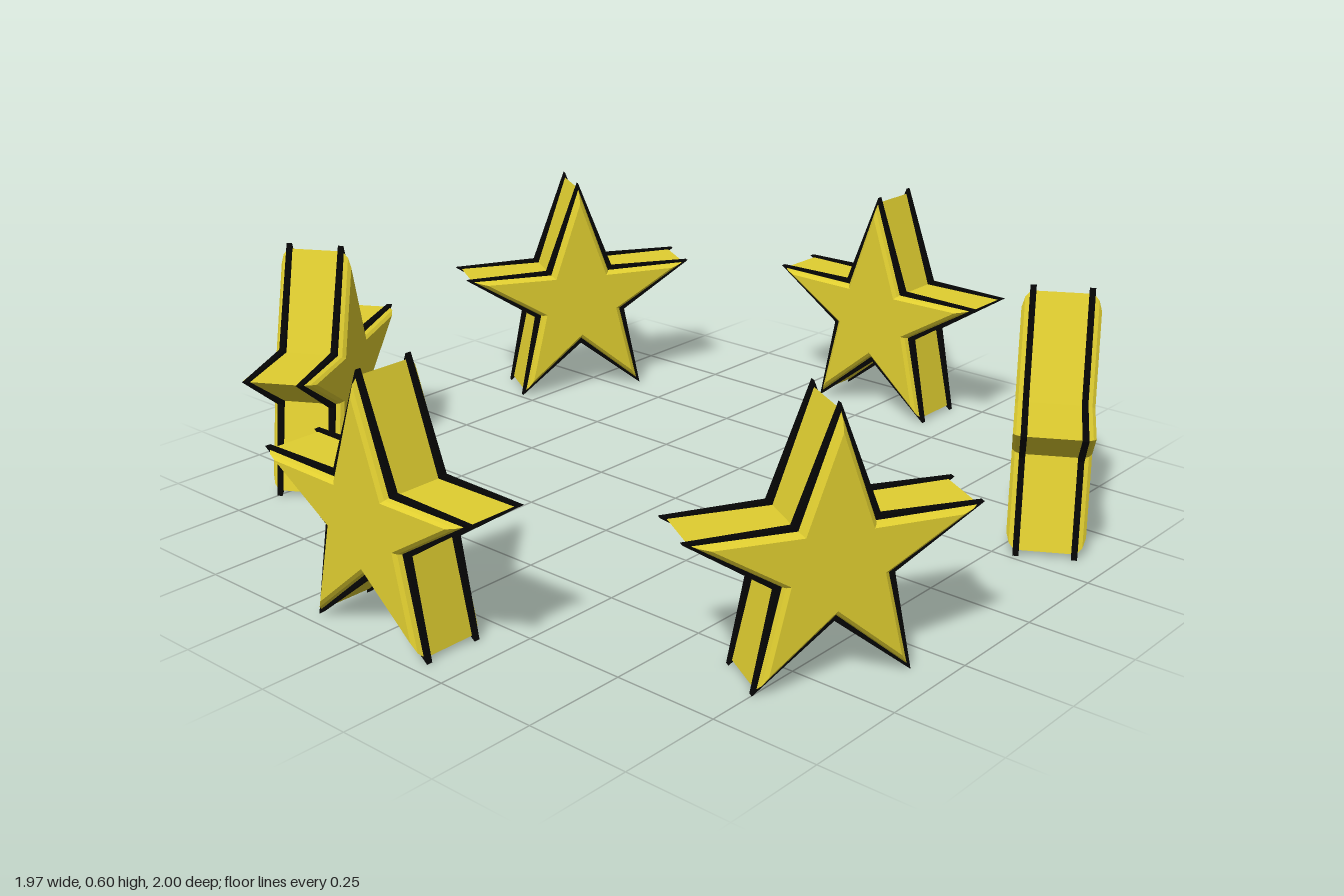
import * as THREE from 'three';

const gold = new THREE.MeshStandardMaterial({ color: 0xe0ce30 });
gold.name = 'gold';
const black = new THREE.MeshStandardMaterial({ color: 0x050505 });
black.name = 'black';

const CENTRE_Y = 0.27;
const RING_RADIUS = 0.895;

// Right half of the star from the top tip to the bottom notch, about its centre
const half = [[0, 0.315], [0.083, 0.075], [0.305, 0.077], [0.115, -0.04], [0.165, -0.258], [0, -0.118]];

// Whole outline, counter-clockwise seen from +z, scaled and pushed outwards
function outline(scale, grow) {
  const left = half.map(([x, y]) => [-x, y]);
  const right = half.slice(1, -1).reverse();
  return [...left, ...right].map(([x, y]) => {
    const k = scale + grow / Math.hypot(x, y);
    return [x * k, y * k];
  });
}

// Flat-sided solid through layers of [z, scale], closed by fans at both ends
function starSolid(layers, grow = 0) {
  const rings = layers.map(([z, s]) => outline(s, grow).map(([x, y]) => [x, y, z]));
  const n = rings[0].length;
  const last = rings.length - 1;
  const pos = [];
  const tri = (...corners) => corners.forEach((c) => pos.push(...c));
  for (let i = 0; i < n; i++) {
    const j = (i + 1) % n;
    for (let k = 0; k < last; k++) {
      const a = rings[k][i], b = rings[k][j], c = rings[k + 1][j], d = rings[k + 1][i];
      tri(a, b, c);
      tri(a, c, d);
    }
    tri([0, 0, layers[last][0]], rings[last][i], rings[last][j]);
    tri([0, 0, layers[0][0]], rings[0][j], rings[0][i]);
  }
  const geo = new THREE.BufferGeometry();
  geo.setAttribute('position', new THREE.Float32BufferAttribute(pos, 3));
  geo.computeVertexNormals();
  return geo;
}

export function createModel() {
  const model = new THREE.Group();
  model.name = 'starRing';

  // Body with bevelled faces, and the thin rim that outlines each face
  const bodyGeo = starSolid([[-0.09, 0.87], [-0.083, 0.95], [-0.07, 1], [0.07, 1], [0.083, 0.95], [0.09, 0.87]]);
  const rimGeo = starSolid([[-0.007, 1], [0.007, 1]], 0.014);

  // Six stars, each facing outwards
  for (let i = 0; i < 6; i++) {
    const a = Math.PI / 6 + (i * Math.PI) / 3;
    const star = new THREE.Group();
    star.name = `star${i + 1}`;
    const body = new THREE.Mesh(bodyGeo, gold);
    body.name = 'starBody';
    star.add(body);
    for (const side of [-1, 1]) {
      const rim = new THREE.Mesh(rimGeo, black);
      rim.name = side > 0 ? 'outerRim' : 'innerRim';
      rim.position.z = side * 0.066;
      star.add(rim);
    }
    star.position.set(Math.sin(a) * RING_RADIUS, CENTRE_Y, Math.cos(a) * RING_RADIUS);
    star.rotation.y = a;
    model.add(star);
  }
  return model;
}
